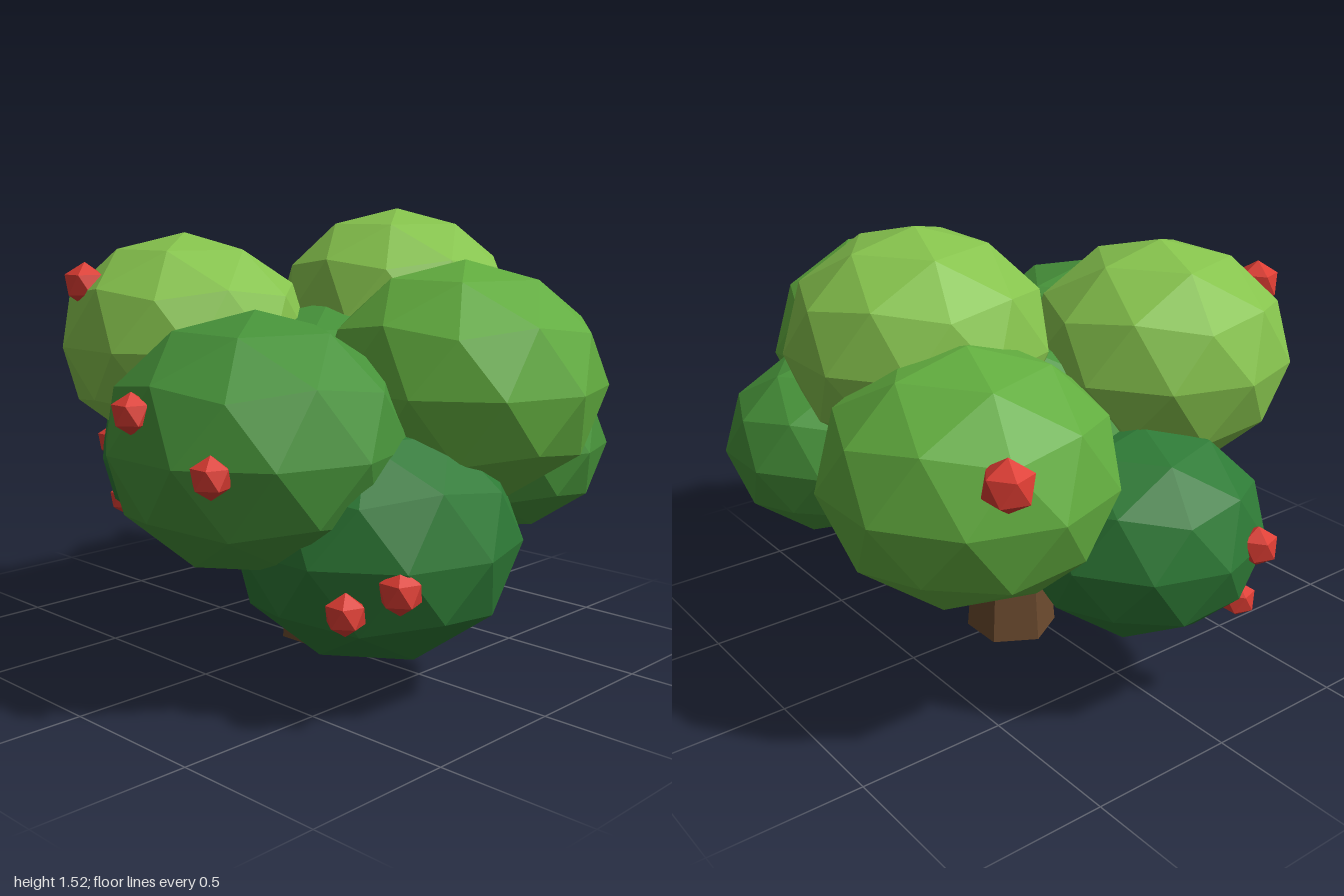
import * as THREE from 'three';

const paint = (color) => new THREE.MeshStandardMaterial({ color, flatShading: true, roughness: 0.9 });

// Faceted ball with a vertex at each pole
function ball(detail) {
  const geo = new THREE.IcosahedronGeometry(1, detail);
  geo.rotateZ(-Math.atan(2 / (1 + Math.sqrt(5))));
  geo.computeVertexNormals();
  return geo;
}

export function createModel() {
  const tree = new THREE.Group();
  tree.name = 'berryTree';

  const add = (parent, name, geo, mat, pos, size = [1, 1, 1]) => {
    const mesh = new THREE.Mesh(geo, mat);
    mesh.name = name;
    mesh.position.set(...pos);
    mesh.scale.set(...size);
    parent.add(mesh);
  };

  // Tapered six-sided trunk
  const trunkHeight = 0.6;
  add(tree, 'trunk', new THREE.CylinderGeometry(0.11, 0.16, trunkHeight, 6),
    paint(0x6b4a2e), [0.08, trunkHeight / 2, -0.01]);

  // Foliage clumps: name, shade, centre, radius, flattening
  const light = paint(0x86c34d), bright = paint(0x62ad3f);
  const mid = paint(0x47933a), dark = paint(0x2e7a36);
  const foliage = new THREE.Group();
  foliage.name = 'foliage';
  tree.add(foliage);
  const clumpGeo = ball(1);
  [
    ['coreClump', mid, [0.08, 0.74, 0], 0.64, 0.72],
    ['topBackRightClump', light, [-0.275, 1.066, -0.345], 0.44, 0.85],
    ['topLeftClump', light, [0.435, 1.155, 0], 0.43, 0.85],
    ['frontClump', bright, [0.165, 0.965, 0.53], 0.465, 0.85],
    ['backLeftClump', bright, [0.53, 0.865, -0.405], 0.465, 0.85],
    ['rightClump', mid, [-0.485, 0.812, 0.24], 0.48, 0.85],
    ['frontLeftClump', mid, [0.54, 0.71, 0.41], 0.37, 0.85],
    ['lowerFrontClump', dark, [-0.185, 0.506, 0.462], 0.466, 0.85],
    ['lowerBackClump', dark, [0.01, 0.605, -0.6], 0.4, 0.85],
  ].forEach(([name, mat, pos, r, flat]) => add(foliage, name, clumpGeo, mat, pos, [r, r * flat, r]));

  // Red berries: x, y, z, radius
  const berries = new THREE.Group();
  berries.name = 'berries';
  tree.add(berries);
  const berryGeo = ball(0), red = paint(0xdc3c32);
  [
    [-0.6, 1.27, -0.475, 0.075],
    [-0.92, 0.945, 0.19, 0.064],
    [-0.875, 0.795, 0.48, 0.064],
    [-0.458, 0.45, 0.81, 0.07],
    [-0.558, 0.38, 0.69, 0.066],
    [0.685, 1.01, -0.81, 0.082],
    [-0.16, 0.62, -0.945, 0.066],
    [-0.17, 0.4, -0.87, 0.06],
  ].forEach(([x, y, z, r], i) => add(berries, `berry${i + 1}`, berryGeo, red, [x, y, z], [r, r, r]));

  return tree;
}
